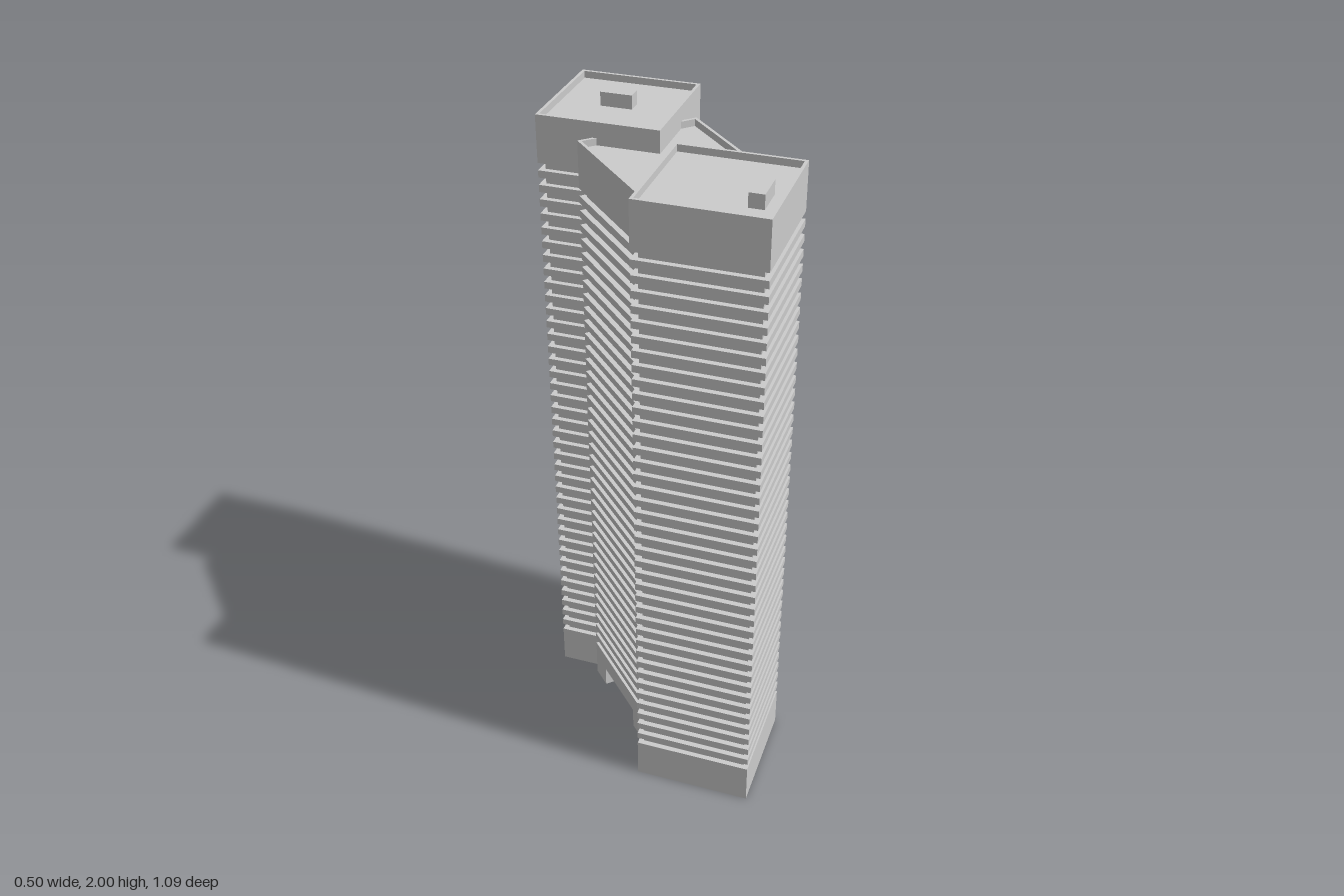
import * as THREE from 'three';

const material = new THREE.MeshStandardMaterial({ color: 0xcccccc, flatShading: true });

const BASE_TOP = 0.13;
const FLOORS = 39;
const PERIOD = 1.71 / (FLOORS + 0.5);
const RIM = 0.009;
const SETBACK = 0.016;

function add(parent, name, geometry, x = 0, y = 0, z = 0) {
  const mesh = new THREE.Mesh(geometry, material);
  mesh.name = name;
  mesh.position.set(x, y, z);
  parent.add(mesh);
  return mesh;
}

// Box given by its footprint and its bottom and top heights
function block(parent, name, w, d, y0, y1, x = 0, z = 0) {
  return add(parent, name, new THREE.BoxGeometry(w, y1 - y0, d), x, (y0 + y1) / 2, z);
}

// Thin square wall ring, open above and below
function ring(parent, name, size, y0, y1) {
  const square = (Type, h) => new Type([[-h, -h], [h, -h], [h, h], [-h, h]].map(p => new THREE.Vector2(...p)));
  const shape = square(THREE.Shape, size / 2);
  shape.holes.push(square(THREE.Path, size / 2 - RIM));
  const geometry = new THREE.ExtrudeGeometry(shape, { depth: y1 - y0, bevelEnabled: false });
  geometry.rotateX(-Math.PI / 2);
  return add(parent, name, geometry, 0, y0, 0);
}

// Recessed core, stacked floor slabs, crown and roof parapet
function shaft(parent, size, floors, top) {
  const crownBottom = BASE_TOP + (floors + 0.5) * PERIOD;
  const core = size - 2 * SETBACK;
  block(parent, 'core', core, core, BASE_TOP - 0.01, crownBottom + 0.01);
  for (let i = 0; i < floors; i++) {
    const y = BASE_TOP + (i + 0.5) * PERIOD;
    block(parent, 'floorSlab', size, size, y, y + PERIOD / 2);
  }
  const roof = top - 0.02;
  block(parent, 'crown', size, size, crownBottom, roof);
  ring(parent, 'parapet', size, roof, top);
}

// Square tower turned on its corner, with a hollow base
function tower(name, z) {
  const group = new THREE.Group();
  group.name = name;
  const size = 0.251 * Math.SQRT2;
  shaft(group, size, FLOORS, 1.98);
  ring(group, 'baseWall', size, 0, BASE_TOP);
  block(group, 'baseCeiling', size - RIM, size - RIM, 0.1, BASE_TOP - 0.0005);
  group.rotation.y = Math.PI / 4;
  group.position.z = z;
  return group;
}

export function createModel() {
  const model = new THREE.Group();
  model.name = 'apartmentTower';

  model.add(tower('frontTower', 0.294), tower('backTower', -0.294));

  // Slightly lower middle block, standing on two legs around a passage
  const middle = new THREE.Group();
  middle.name = 'middleBlock';
  const size = 0.358;
  shaft(middle, size, FLOORS - 1, 1.935);
  block(middle, 'passageCeiling', size, size, 0.07, BASE_TOP);
  for (const side of [1, -1]) {
    block(middle, 'passageLeg', size, 0.072, 0, 0.07, 0, side * (size / 2 - 0.036));
  }
  model.add(middle);

  // Rooftop huts
  block(model, 'frontRoofHut', 0.092, 0.042, 1.95, 2, 0.048, 0.41).rotation.y = Math.PI / 4;
  block(model, 'backRoofHut', 0.092, 0.042, 1.95, 2, 0, -0.3).rotation.y = -Math.PI / 4;

  return model;
}
